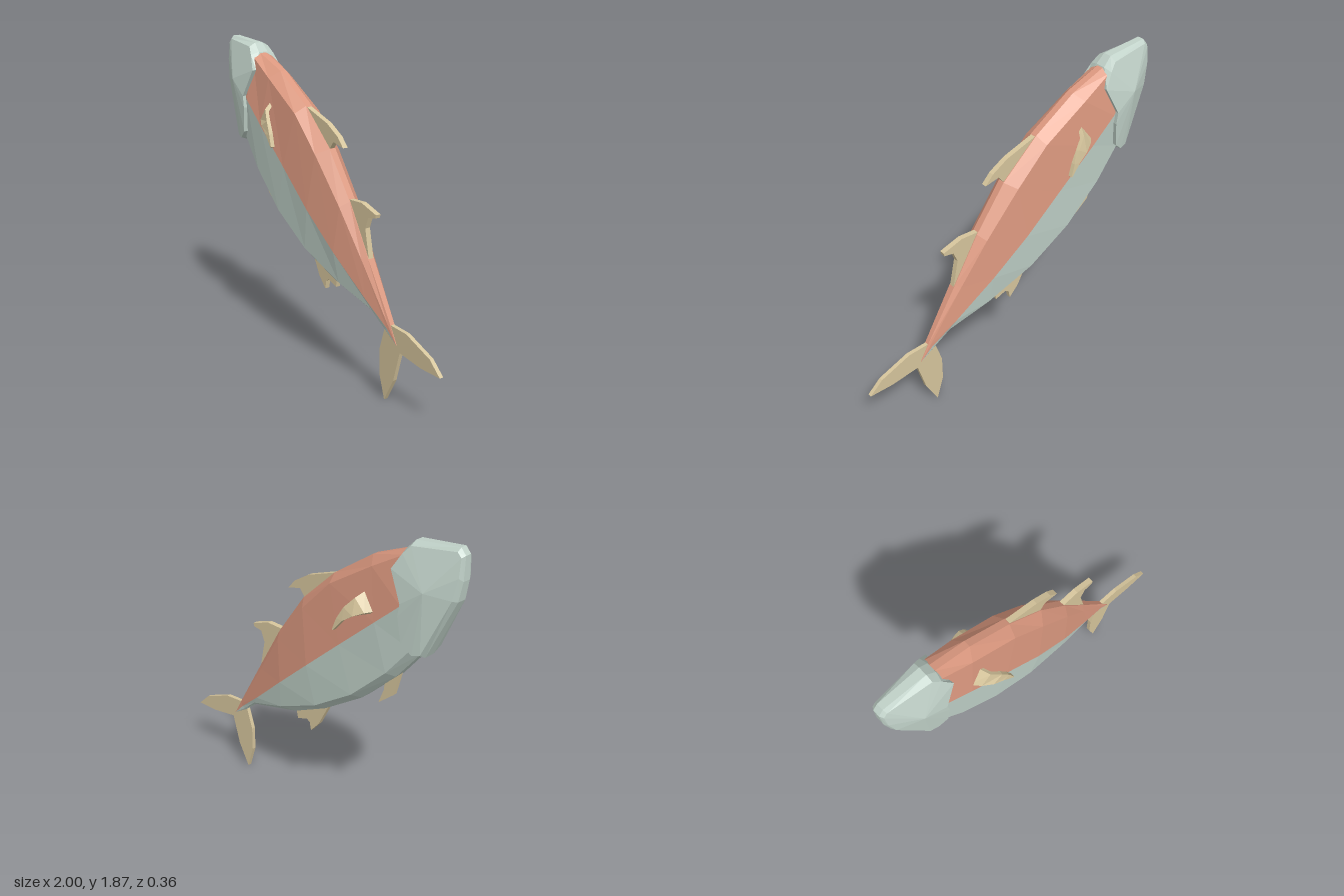
import * as THREE from 'three';

const salmon = new THREE.MeshStandardMaterial({ name: 'salmon back', color: 0xdb987f });
const pale = new THREE.MeshStandardMaterial({ name: 'pale belly', color: 0xc1d2c9 });
const tan = new THREE.MeshStandardMaterial({ name: 'tan fin', color: 0xd6c59c });
for (const m of [salmon, pale, tan]) m.flatShading = true;

// Faceted mesh from polygons of [x, y, z] corners; empty triangles are skipped
function facets(name, polygons, material) {
  const pos = [];
  const t = new THREE.Triangle();
  for (const p of polygons) {
    for (let k = 1; k < p.length - 1; k++) {
      t.set(new THREE.Vector3(...p[0]), new THREE.Vector3(...p[k]), new THREE.Vector3(...p[k + 1]));
      if (t.getArea() > 1e-7) pos.push(...p[0], ...p[k], ...p[k + 1]);
    }
  }
  const g = new THREE.BufferGeometry();
  g.setAttribute('position', new THREE.Float32BufferAttribute(pos, 3));
  g.computeVertexNormals();
  const mesh = new THREE.Mesh(g, material);
  mesh.name = name;
  return mesh;
}

const flip = ([x, y, z]) => [x, y, -z];
const mirrored = (polygons) => polygons.map((p) => p.map(flip).reverse());
const bothSides = (polygons) => [...polygons, ...mirrored(polygons)];

// Flat fin cut from an outline and centred on z = 0
function fin(name, outline, half) {
  const shape = new THREE.Shape(outline.map(([x, y]) => new THREE.Vector2(x, y)));
  const g = new THREE.ExtrudeGeometry(shape, { depth: half * 2, bevelEnabled: false });
  g.translate(0, 0, -half);
  const mesh = new THREE.Mesh(g, tan);
  mesh.name = name;
  return mesh;
}

// Body stations from gills to tail: back ridge, upper crease, colour line, lower crease, keel
const stations = [
  [[-0.75, 1.78, 0.015], [-0.76, 1.75, 0.05], [-0.82, 1.62, 0.07], [-0.83, 1.37, 0.05], [-0.84, 1.34, 0.02]],
  [[-0.66, 1.785, 0.02], [-0.67, 1.765, 0.065], [-0.69, 1.51, 0.105], [-0.75, 1.28, 0.08], [-0.78, 1.25, 0.03]],
  [[-0.44, 1.70, 0.02], [-0.48, 1.66, 0.08], [-0.53, 1.374, 0.11], [-0.60, 1.10, 0.09], [-0.63, 1.07, 0.035]],
  [[-0.18, 1.53, 0.02], [-0.20, 1.49, 0.085], [-0.29, 1.17, 0.11], [-0.37, 0.89, 0.095], [-0.40, 0.86, 0.035]],
  [[0.05, 1.32, 0.02], [0.00, 1.29, 0.085], [-0.05, 0.964, 0.11], [-0.10, 0.72, 0.09], [-0.13, 0.69, 0.035]],
  [[0.24, 1.06, 0.02], [0.21, 1.03, 0.07], [0.18, 0.767, 0.09], [0.20, 0.59, 0.065], [0.11, 0.58, 0.03]],
  [[0.40, 0.79, 0.02], [0.38, 0.77, 0.045], [0.42, 0.56, 0.05], [0.46, 0.505, 0.035], [0.46, 0.49, 0.02]],
  [[0.60, 0.455, 0.014], [0.59, 0.447, 0.02], [0.58, 0.43, 0.022], [0.56, 0.422, 0.02], [0.55, 0.418, 0.014]],
  Array(5).fill([0.655, 0.355, 0.016]),
];

function bodyHalf(name, from, to, material) {
  const side = [], strip = [];
  for (let i = 0; i < stations.length - 1; i++) {
    const a = stations[i], b = stations[i + 1];
    for (let j = from; j < to; j++) side.push([a[j], a[j + 1], b[j + 1], b[j]]);
    if (from === 0) strip.push([a[0], b[0], flip(b[0]), flip(a[0])]);
    else strip.push([flip(a[4]), flip(b[4]), b[4], a[4]]);
  }
  return facets(name, [...bothSides(side), ...strip], material);
}

// Head: a domed cheek on each side, a bevel, and a narrow strip round the middle
function head() {
  const cheek = [-0.83, 1.62, 0.118];
  const crease = [
    [-0.988, 1.82, 0.04], [-0.965, 1.845, 0.04], [-0.71, 1.82, 0.065], [-0.67, 1.775, 0.08],
    [-0.62, 1.69, 0.102], [-0.70, 1.53, 0.125], [-0.69, 1.46, 0.125], [-0.71, 1.31, 0.115],
    [-0.77, 1.262, 0.10], [-0.815, 1.272, 0.09], [-0.965, 1.60, 0.06], [-0.988, 1.72, 0.05],
  ];
  const rim = [
    [-1.0, 1.83, 0.02], [-0.97, 1.865, 0.02], [-0.71, 1.842, 0.025], [-0.66, 1.79, 0.03],
    [-0.625, 1.69, 0.075], [-0.705, 1.53, 0.085], [-0.695, 1.46, 0.085], [-0.715, 1.31, 0.07],
    [-0.77, 1.25, 0.04], [-0.81, 1.24, 0.035], [-0.98, 1.59, 0.03], [-1.0, 1.70, 0.025],
  ];
  const side = [], strip = [];
  crease.forEach((c, i) => {
    const k = (i + 1) % crease.length;
    side.push([cheek, crease[k], c], [c, crease[k], rim[k], rim[i]]);
    strip.push([rim[i], rim[k], flip(rim[k]), flip(rim[i])]);
  });
  return facets('head', [...bothSides(side), ...strip], pale);
}

// Side fin: a thick strip that leaves the flank and hooks backward; [lower, upper, thickness]
function sideFin() {
  const rows = [
    [[-0.53, 1.43, 0.09], [-0.45, 1.52, 0.09], [0.02, -0.02, 0]],
    [[-0.485, 1.42, 0.135], [-0.425, 1.49, 0.14], [0.015, -0.015, -0.015]],
    [[-0.43, 1.395, 0.165], [-0.37, 1.43, 0.165], [0.005, -0.005, -0.022]],
    [[-0.37, 1.355, 0.175], [-0.33, 1.36, 0.175], [0, 0, -0.025]],
    [[-0.31, 1.285, 0.18], [-0.305, 1.29, 0.18], [0, 0, -0.025]],
  ].map(([a, b, n]) => [a, b, a.map((v, i) => v + n[i]), b.map((v, i) => v + n[i])]);
  const out = [];
  for (let i = 0; i < rows.length - 1; i++) {
    const [a, b, c, d] = rows[i], [e, f, g, h] = rows[i + 1];
    out.push([a, e, f, b], [c, d, h, g], [a, c, g, e], [b, f, h, d]);
  }
  const [a, b, c, d] = rows[rows.length - 1];
  out.push([a, c, d, b]);
  return out;
}

export function createModel() {
  const fish = new THREE.Group();
  fish.name = 'fish';
  fish.add(
    bodyHalf('upperBody', 0, 2, salmon),
    bodyHalf('lowerBody', 2, 4, pale),
    head(),
    facets('leftSideFin', sideFin(), tan),
    facets('rightSideFin', mirrored(sideFin()), tan),
    fin('frontBackFin', [[-0.19, 1.53], [0.02, 1.46], [0.12, 1.40], [0.17, 1.345], [0.08, 1.365],
      [0.045, 1.32], [0.0, 1.30], [-0.16, 1.45]], 0.016),
    fin('rearBackFin', [[0.22, 1.07], [0.34, 1.075], [0.465, 1.035], [0.46, 1.015], [0.40, 1.005],
      [0.375, 0.94], [0.41, 0.77], [0.36, 0.79], [0.22, 1.0]], 0.016),
    fin('frontBellyFin', [[-0.64, 1.09], [-0.60, 0.94], [-0.50, 0.86], [-0.535, 0.95],
      [-0.54, 1.0], [-0.50, 1.02]], 0.014),
    fin('rearBellyFin', [[-0.14, 0.70], [-0.06, 0.55], [0.0, 0.485], [0.01, 0.535], [0.035, 0.55],
      [0.105, 0.525], [0.12, 0.60], [0.0, 0.66]], 0.014),
    fin('tailFin', [[0.56, 0.455], [0.73, 0.445], [0.92, 0.37], [1.0, 0.295], [0.85, 0.295],
      [0.68, 0.32], [0.63, 0.14], [0.555, 0], [0.51, 0.14], [0.51, 0.29], [0.55, 0.42]], 0.012),
  );
  return fish;
}
